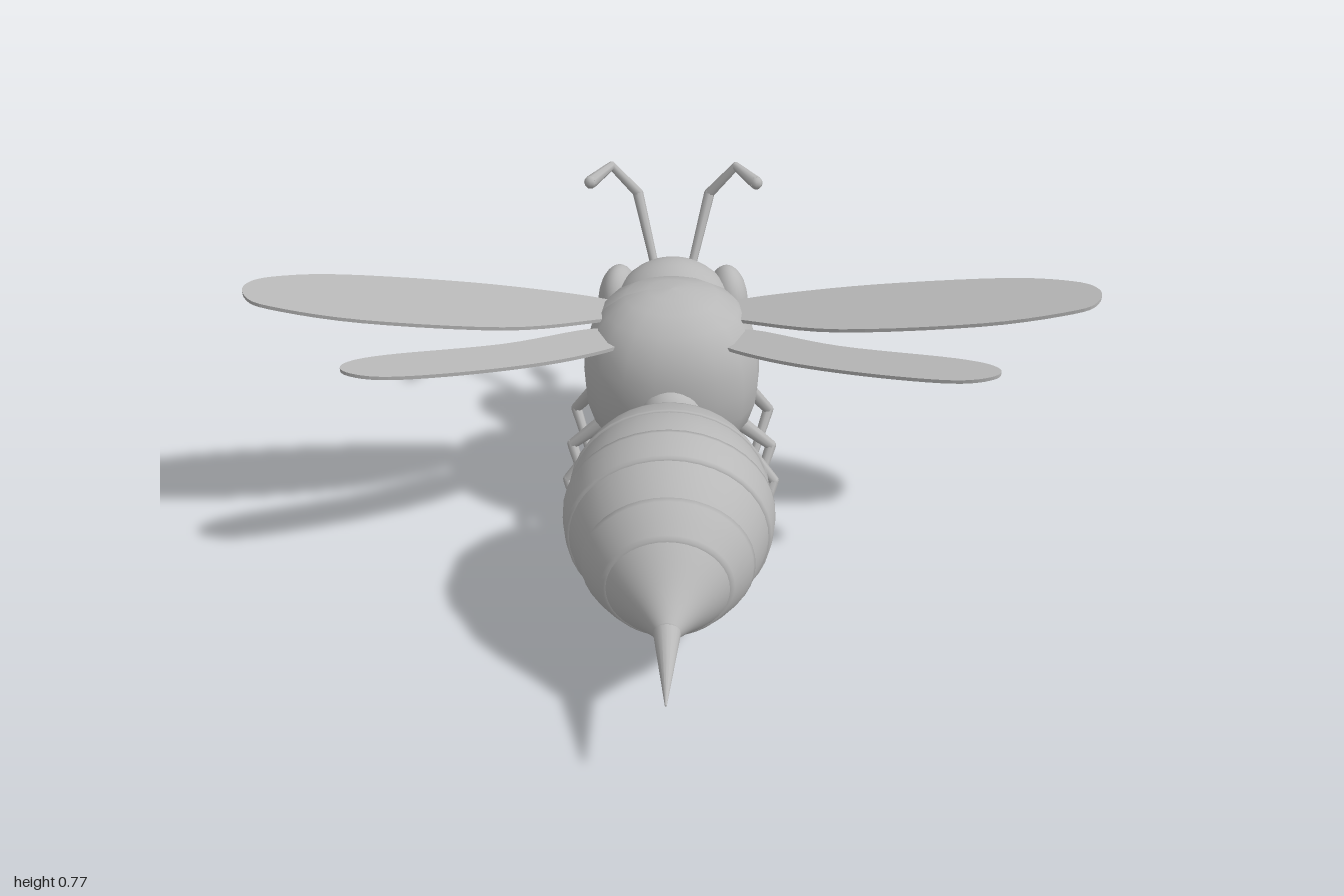
import * as THREE from 'three';

export function createModel() {
  const model = new THREE.Group();
  const grey = new THREE.MeshStandardMaterial({ color: 0xb8b8b8 });
  grey.name = 'plain grey';
  const V = (x, y, z) => new THREE.Vector3(x, y, z);

  function add(name, geometry, parent = model) {
    const mesh = new THREE.Mesh(geometry, grey);
    mesh.name = name;
    parent.add(mesh);
    return mesh;
  }

  function ellipsoid(name, centre, radii, w = 32, h = 20) {
    const mesh = add(name, new THREE.SphereGeometry(1, w, h).scale(...radii));
    mesh.position.set(...centre);
    return mesh;
  }

  // Tapered rod between two points
  function rod(name, a, b, ra, rb, parent, sides = 8) {
    const mesh = add(name, new THREE.CylinderGeometry(rb, ra, a.distanceTo(b), sides), parent);
    mesh.position.copy(a).add(b).multiplyScalar(0.5);
    mesh.quaternion.setFromUnitVectors(V(0, 1, 0), b.clone().sub(a).normalize());
    return mesh;
  }

  // Chain of rods with rounded joints
  function limb(name, points, radii) {
    const group = new THREE.Group();
    group.name = name;
    points.forEach((p, i) => {
      if (i > 0) rod(name + 'Segment', points[i - 1], p, radii[i - 1], radii[i], group);
      if (i > 0) add(name + 'Joint', new THREE.SphereGeometry(radii[i], 8, 6), group).position.copy(p);
    });
    model.add(group);
  }

  // Abdomen: turned profile along z whose centre line droops to the tail
  function turned(profile) {
    const g = new THREE.LatheGeometry(profile, 40).rotateX(Math.PI / 2);
    const p = g.attributes.position;
    for (let i = 0; i < p.count; i++) {
      const z = p.getZ(i);
      p.setY(i, p.getY(i) * 0.94 + 0.352 - 0.05 * z - 0.16 * z * z);
    }
    return g;
  }
  const samples = new THREE.SplineCurve([
    [0.085, -0.04], [0.135, 0.0], [0.185, 0.06], [0.225, 0.147], [0.237, 0.23], [0.224, 0.31],
    [0.188, 0.39], [0.136, 0.46], [0.07, 0.53], [0.026, 0.58],
  ].map(([r, z]) => new THREE.Vector2(r, z))).getPoints(90);
  add('abdomen', turned([new THREE.Vector2(0, -0.0401), ...samples, new THREE.Vector2(0, 0.581)]));

  // Slightly raised abdomen bands
  for (const [from, to] of [[0.07, 0.15], [0.23, 0.31], [0.39, 0.46]]) {
    const ring = samples.filter((p) => p.y >= from && p.y <= to);
    const first = ring[0], last = ring[ring.length - 1];
    add('abdomenBand', turned([
      new THREE.Vector2(first.x - 0.004, first.y - 0.001),
      ...ring.map((p) => new THREE.Vector2(p.x + 0.005, p.y)),
      new THREE.Vector2(last.x - 0.004, last.y + 0.001),
    ]));
  }
  rod('stinger', V(0, 0.267, 0.575), V(0, 0.233, 0.765), 0.03, 0.002, model, 16);

  // Thorax: slightly squared, coarse rounded body
  const thorax = new THREE.SphereGeometry(1, 18, 12);
  const tp = thorax.attributes.position;
  for (let i = 0; i < tp.count; i++) {
    const v = V(0, 0, 0).fromBufferAttribute(tp, i);
    const n = 2.4;
    const k = Math.pow(Math.abs(v.x) ** n + Math.abs(v.y) ** n + Math.abs(v.z) ** n, -1 / n);
    tp.setXYZ(i, v.x * k * 0.22, v.y * k * 0.225, v.z * k * 0.2);
  }
  thorax.computeVertexNormals();
  add('thorax', thorax).position.set(0, 0.41, -0.29);
  ellipsoid('waist', [0, 0.386, -0.105], [0.075, 0.072, 0.062], 20, 14);
  ellipsoid('head', [0, 0.39, -0.58], [0.168, 0.17, 0.146]);

  // Thin wing cut from an outline of [x, z], rising away from the body
  function wing(name, outline, side, rootY, slope) {
    const pts = outline.map(([x, z]) => new THREE.Vector2(x * side, z));
    const curve = new THREE.SplineCurve([...pts, pts[0]]).getPoints(60).slice(0, -1);
    const g = new THREE.ExtrudeGeometry(new THREE.Shape(curve), { depth: 0.009, bevelEnabled: false });
    g.rotateX(Math.PI / 2);
    const p = g.attributes.position;
    for (let i = 0; i < p.count; i++) {
      p.setY(i, p.getY(i) + 0.0045 + rootY + slope * (Math.abs(p.getX(i)) - 0.16));
    }
    g.computeVertexNormals();
    add(name, g);
  }
  const foreOutline = [
    [0.12, -0.36], [0.25, -0.362], [0.5, -0.335], [0.8, -0.27], [0.95, -0.205], [1.0, -0.15],
    [0.99, -0.095], [0.93, -0.066], [0.72, -0.07], [0.4, -0.14], [0.2, -0.24], [0.12, -0.3],
  ];
  const hindOutline = [
    [0.12, -0.235], [0.2, -0.235], [0.4, -0.12], [0.66, -0.015], [0.745, 0.04], [0.735, 0.078],
    [0.64, 0.08], [0.45, 0.015], [0.26, -0.075], [0.12, -0.175],
  ];

  for (const s of [1, -1]) {
    const label = s > 0 ? 'left' : 'right';
    const at = (p) => V(p[0] * s, p[1], p[2]);
    wing(label + 'Forewing', foreOutline, s, 0.56, 0.178);
    wing(label + 'Hindwing', hindOutline, s, 0.542, 0.112);

    // Bulging eyes
    const eye = ellipsoid(label + 'Eye', [0.145 * s, 0.425, -0.623], [0.053, 0.097, 0.078], 24, 16);
    eye.rotation.y = s * 0.2;

    // Antennae and mandibles
    limb(label + 'Antenna',
      [[0.05, 0.51, -0.66], [0.095, 0.675, -0.755], [0.163, 0.758, -0.742], [0.215, 0.743, -0.67]].map(at),
      [0.011, 0.014, 0.011, 0.017]);
    rod(label + 'Mandible', at([0.05, 0.305, -0.68]), at([0.018, 0.243, -0.755]), 0.026, 0.002, model);

    // Legs: hip, knee, foot
    const legs = [
      ['Front', [0.18, 0.29, -0.425], [0.257, 0.178, -0.468], [0.193, 0.01, -0.355]],
      ['Middle', [0.17, 0.255, -0.285], [0.257, 0.178, -0.292], [0.193, 0.01, -0.19]],
      ['Rear', [0.17, 0.28, -0.15], [0.257, 0.178, -0.13], [0.193, 0.01, -0.027]],
    ];
    for (const [name, ...joints] of legs) {
      limb(label + name + 'Leg', joints.map(at), [0.021, 0.014, 0.009]);
    }
  }
  return model;
}
